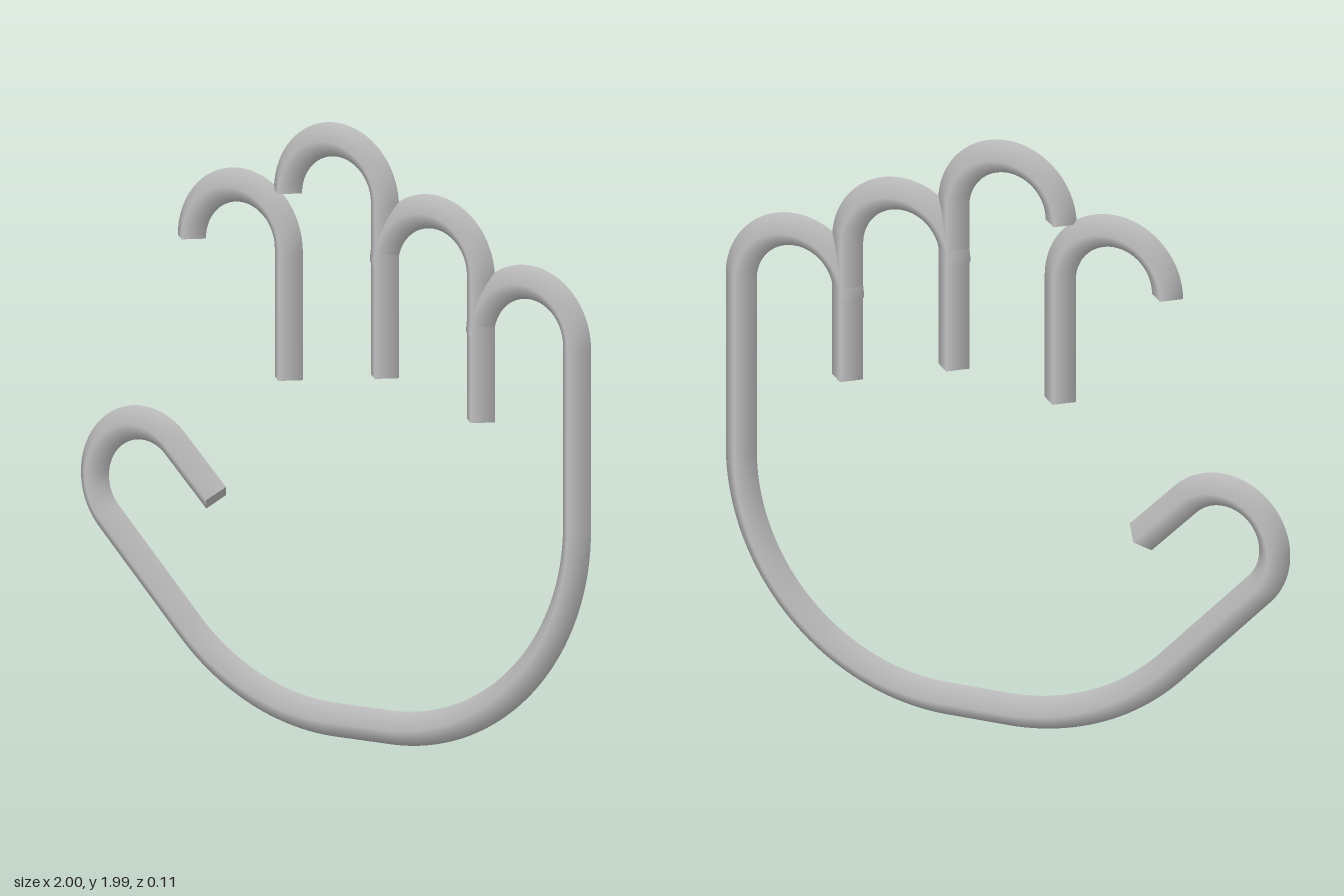
import * as THREE from 'three';

const R = 0.055;       // half width of the diamond-section rod
const BEND = 0.19;     // centreline radius of the fingertips

// Lifts a flat path into 3D so that a tube can follow it
class FlatCurve extends THREE.Curve {
  constructor(path) {
    super();
    this.path = path;
    this.arcLengthDivisions = 600;
  }
  getPoint(t, target = new THREE.Vector3()) {
    const p = this.path.getPoint(t);
    return target.set(p.x, p.y, 0);
  }
}

export function createModel() {
  const model = new THREE.Group();
  model.name = 'handOutline';
  const metal = new THREE.MeshStandardMaterial({ color: 0xc0c0c0 });
  metal.name = 'greyMetal';

  // Four-sided smooth rod with flat closed ends
  function rod(name, path, segments) {
    const group = new THREE.Group();
    group.name = name;
    const curve = new FlatCurve(path);
    const tube = new THREE.Mesh(new THREE.TubeGeometry(curve, segments, R, 4, false), metal);
    tube.name = name + 'Rod';
    group.add(tube);
    for (const [t, sign] of [[0, -1], [1, 1]]) {
      const cap = new THREE.Mesh(new THREE.CircleGeometry(R, 4), metal);
      cap.name = name + 'End';
      const p = curve.getPoint(t);
      cap.position.copy(p);
      cap.lookAt(p.clone().addScaledVector(curve.getTangent(t), sign));
      group.add(cap);
    }
    model.add(group);
  }

  // Hooked fingers: [name, centre x, arc centre y, left foot y, right foot y]
  const fingers = [
    ['indexFinger', -0.375, 1.555, 0.82, 1.14],
    ['middleFinger', 0.002, 1.745, 1.555, 1.19],
    ['ringFinger', 0.378, 1.555, 1.5, 1.09],
  ];
  for (const [name, x, y, left, right] of fingers) {
    const path = new THREE.Path();
    path.moveTo(x - BEND, left);
    path.absarc(x, y, BEND, Math.PI, 0, true);
    path.lineTo(x + BEND, right);
    rod(name, path, 120);
  }

  // Little finger, palm edge, heel and thumb in one continuous rod
  const q = Math.PI / 4;
  const palm = new THREE.Path();
  palm.moveTo(0.565, 1.35);
  palm.absarc(0.755, 1.37, BEND, Math.PI, 0, true);
  palm.absarc(0.215, 0.785, 0.73, 0, -2 * q, true);
  palm.absarc(0, 0.865, 0.81, -2 * q, -3 * q, true);
  palm.absarc(-0.76, 0.745, 0.185, 5 * q, q, true);
  palm.lineTo(-0.47, 0.72);
  rod('palmAndThumb', palm, 300);

  return model;
}
